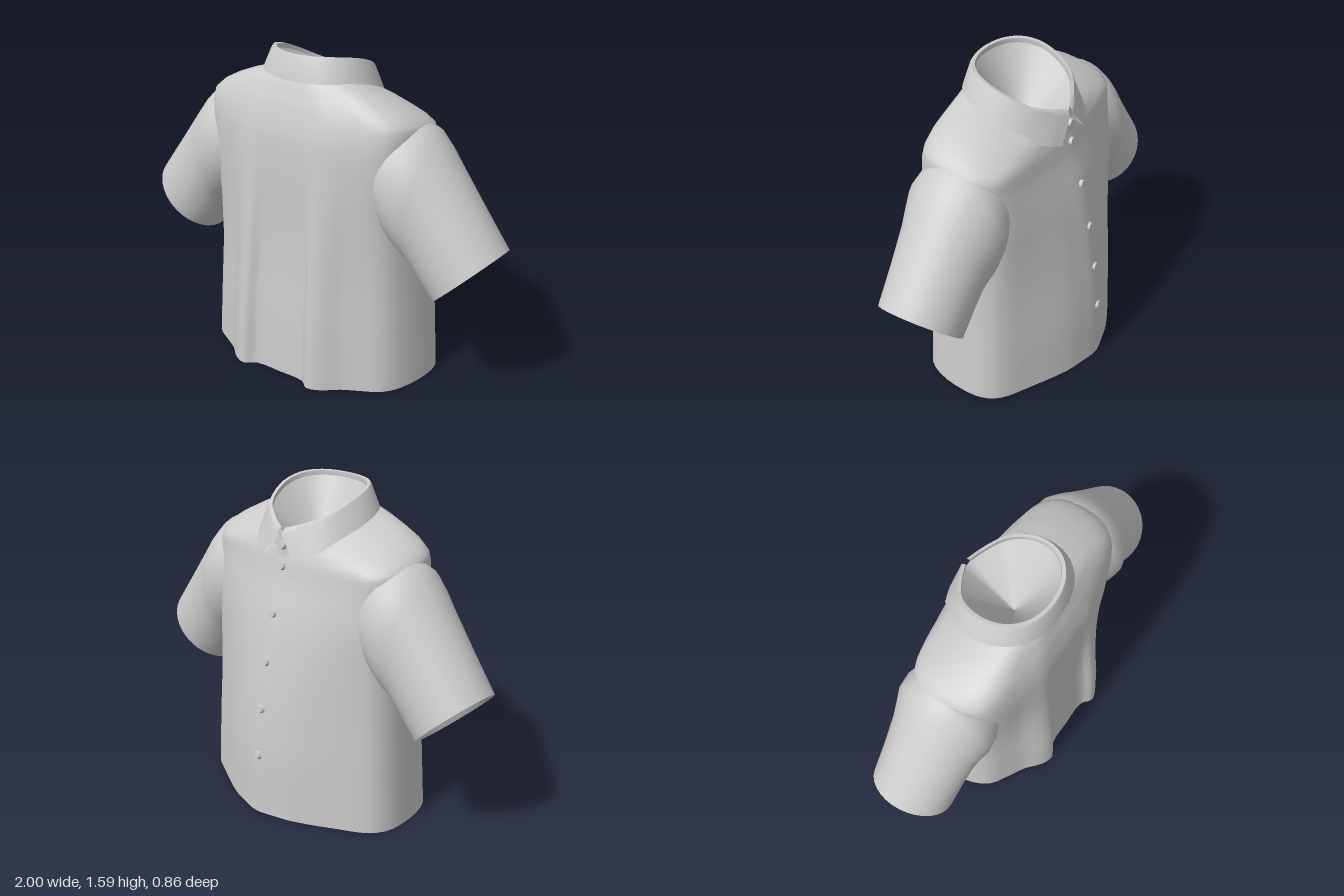
import * as THREE from 'three';
import { toCreasedNormals } from 'three/addons/utils/BufferGeometryUtils.js';

const V = (x, y, z) => new THREE.Vector3(x, y, z);
const material = new THREE.MeshStandardMaterial({ color: 0xcccccc, side: THREE.DoubleSide });

// Skin through rows of points
function loft(rows, closed = true) {
  const n = rows[0].length, index = [];
  for (let r = 0; r < rows.length - 1; r++) {
    for (let i = 0; i < (closed ? n : n - 1); i++) {
      const j = (i + 1) % n, a = r * n + i, b = r * n + j;
      index.push(a, a + n, b, b, a + n, b + n);
    }
  }
  const g = new THREE.BufferGeometry().setFromPoints(rows.flat());
  g.setIndex(index);
  g.computeVertexNormals();
  return g;
}

function addMesh(group, name, geometry) {
  const m = new THREE.Mesh(geometry, material);
  m.name = name;
  group.add(m);
  return m;
}

// Half outlines from centre front round to centre back: pleated hem and square-shouldered yoke
const HEM = [[0, -1], [.17, -.95], [.34, -.88], [.67, -.65], [.91, -.45], [.99, -.26], [1, 0], [.95, .35],
  [.86, .56], [.71, .69], [.57, .8], [.44, .95], [.33, 1], [.24, .91], [0, .9]];
const YOKE = [[0, -1], [.2, -.97], [.4, -.92], [.65, -.84], [.86, -.69], [.97, -.38], [1, 0], [.98, .42],
  [.9, .69], [.77, .82], [.6, .89], [.45, .94], [.32, .98], [.2, .99], [0, .99]];

// Body sections: height, half width, front depth, back depth, pleat amount, neckline slant
const BODY = [
  [0, .595, .43, .43, 1, 0], [.3, .578, .422, .415, 1, 0], [.55, .565, .395, .39, .95, 0],
  [.8, .56, .355, .37, .7, 0], [1, .565, .31, .355, .35, 0], [1.1, .568, .282, .347, .22, .08],
  [1.2, .573, .257, .337, .12, .2], [1.26, .578, .247, .323, .08, .32], [1.305, .57, .241, .308, .05, .45],
  [1.345, .515, .237, .293, 0, .6], [1.38, .44, .233, .275, 0, .75], [1.415, .345, .23, .258, 0, .88],
  [1.442, .25, .226, .24, 0, 1]];

const slant = z => .38 * z - .9 * z * z;

function bodySection(y) {
  let k = 0;
  while (k < BODY.length - 2 && y > BODY[k + 1][0]) k++;
  const t = (y - BODY[k][0]) / (BODY[k + 1][0] - BODY[k][0]);
  return BODY[k].map((v, i) => THREE.MathUtils.lerp(v, BODY[k + 1][i], t));
}

function bodyRing(y, count = 84) {
  const [, w, front, back, pleat, tilt] = bodySection(y);
  const half = HEM.map(([hx, hz], i) => {
    const x = THREE.MathUtils.lerp(YOKE[i][0], hx, pleat) * w;
    const s = THREE.MathUtils.lerp(YOKE[i][1], hz, pleat);
    const z = s * (s < 0 ? front : back);
    return V(x, y + tilt * slant(z), z);
  });
  const other = half.slice(1, -1).reverse().map(p => V(-p.x, p.y, p.z));
  const curve = new THREE.CatmullRomCurve3([...half, ...other], true);
  return Array.from({ length: count }, (_, i) => curve.getPoint(i / count));
}

// Recessed lining that closes an opening
const lining = (ring, apex) => loft([ring, ring.map(() => apex.clone())]);

// Sleeve sections: top x, y, bottom x, y, half depth
const SLEEVE = [[.42, 1.32, .42, .8, .22], [.52, 1.325, .48, .73, .25], [.59, 1.303, .54, .675, .253],
  [.66, 1.235, .568, .645, .235], [.72, 1.16, .59, .615, .222], [.86, .975, .635, .555, .21],
  [1, .79, .69, .49, .203]];

function sleeveRings(side, count = 32) {
  return SLEEVE.map(([tx, ty, bx, by, depth]) => Array.from({ length: count }, (_, i) => {
    const a = i / count * Math.PI * 2, c = (1 + Math.cos(a)) / 2;
    return V(side * (bx + (tx - bx) * c), by + (ty - by) * c, .03 - side * depth * Math.sin(a));
  }));
}

// Collar edge from the +x tip, round the back, to the -x tip
function collarEdge(half, inset, height) {
  const all = [...half, ...half.slice(0, -1).reverse().map(([x, z]) => [-x, z])];
  const curve = new THREE.CatmullRomCurve3(all.map(([x, z]) => V(x, 0, z)));
  return curve.getPoints(48).map(p => {
    const z = p.z * inset;
    return V(p.x * inset, height + slant(z), z);
  });
}
const FOLD = [[.015, -.24], [.1, -.2], [.19, -.13], [.235, .01], [.21, .13], [.13, .21], [0, .24]];
const FLAP = [[.1, -.258], [.18, -.22], [.255, -.12], [.288, .02], [.25, .16], [.15, .245], [0, .272]];

export function createModel() {
  const group = new THREE.Group();
  group.name = 'shirt';

  // Body
  const levels = [0, .1, .2, .3, .42, .55, .68, .8, .9, 1, 1.1, 1.15, 1.2, 1.23, 1.26, 1.283, 1.305, 1.325, 1.345, 1.363, 1.38, 1.4, 1.415, 1.442];
  const rings = levels.map(y => bodyRing(y));
  addMesh(group, 'body', loft(rings));
  addMesh(group, 'hemLining', loft([rings[0].map(() => V(0, .3, 0)), rings[0]]));

  // Sleeves
  for (const side of [1, -1]) {
    const name = side > 0 ? 'left' : 'right';
    const rows = sleeveRings(side);
    addMesh(group, name + 'Sleeve', loft(rows));
    addMesh(group, name + 'SleeveLining', lining(rows[rows.length - 1], V(side * .7, .79, .03)));
  }

  // Collar: folded flap with a thin rim, then the inner stand
  const flap = [
    collarEdge(FLAP, .93, 1.432), collarEdge(FLAP, 1, 1.432),
    collarEdge(FOLD, 1.03, 1.535), collarEdge(FOLD, 1, 1.547),
    collarEdge(FOLD, .93, 1.545), collarEdge(FOLD, .92, 1.5), collarEdge(FLAP, .93, 1.432)];
  addMesh(group, 'collar', toCreasedNormals(loft(flap, false), .7));
  const standTop = collarEdge(FOLD, .93, 1.525);
  const standBase = collarEdge(FOLD, .98, 1.42);
  addMesh(group, 'collarStand', loft([standBase, standTop]));
  addMesh(group, 'neckLining', lining(standTop, V(0, 1.2, .03)));

  // Front buttons, tilted with the cloth
  const buttons = [.31, .55, .785, 1.015].map(y => [y, -bodySection(y)[2]]);
  buttons.push([1.235, -.244], [1.335, -.238]);
  for (const [y, z] of buttons) {
    const b = addMesh(group, 'button', new THREE.CylinderGeometry(.017, .023, .016, 14));
    b.position.set(-.01, y, z - .003);
    b.rotation.x = -Math.PI / 2 + .15;
  }
  return group;
}
